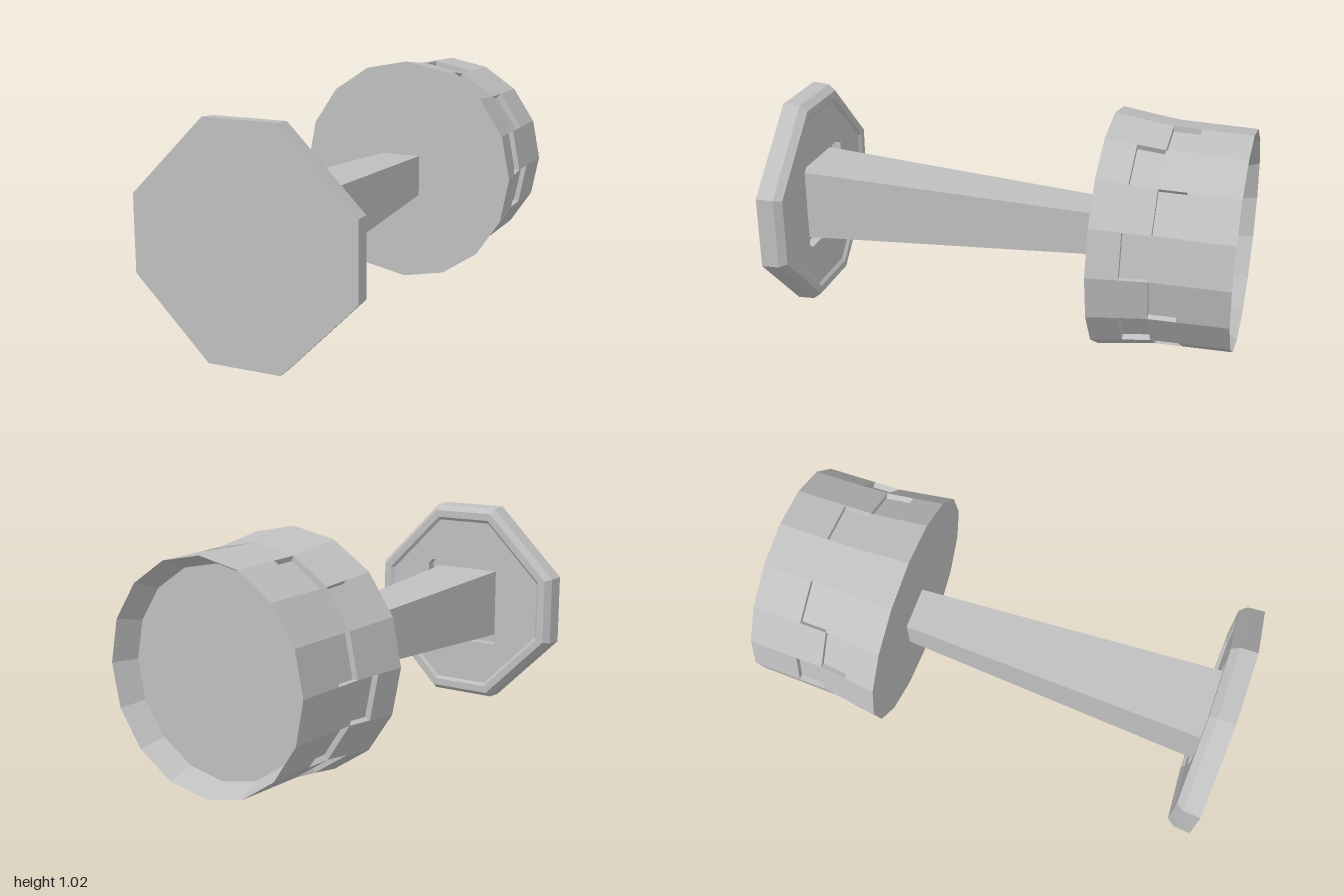
import * as THREE from 'three';

const grey = new THREE.MeshStandardMaterial({ color: 0xbfbfbf });
grey.name = 'plain grey';
grey.side = THREE.DoubleSide;

const CX = -0.023, CY = 0.49; // axis of the foot and shaft

// Flat-shaded skin through rings that run clockwise (seen from +z) and go towards -z.
// notch(band, side) gives the depth of a pocket, as a scale about the centre.
function loft(rings, { center, front = false, back = false, notch = () => 0 } = {}) {
  const pos = [];
  const tri = (...pts) => pts.forEach((p) => pos.push(p.x, p.y, p.z));
  const quad = (a, b, c, d) => tri(a, b, c, a, c, d);
  const n = rings[0].length;
  for (let i = 0; i < rings.length - 1; i++) {
    for (let k = 0; k < n; k++) {
      const m = (k + 1) % n;
      const o = [rings[i][k], rings[i][m], rings[i + 1][m], rings[i + 1][k]];
      const depth = notch(i, k);
      if (!depth) { quad(...o); continue; }
      // pocket: four walls and a floor
      const f = o.map((p) => new THREE.Vector3(
        center.x + (p.x - center.x) * (1 - depth),
        center.y + (p.y - center.y) * (1 - depth), p.z));
      quad(...f);
      for (let j = 0; j < 4; j++) quad(o[j], o[(j + 1) % 4], f[(j + 1) % 4], f[j]);
    }
  }
  const cap = (ring, flip) => {
    const c = new THREE.Vector3(center.x, center.y, ring[0].z);
    ring.forEach((p, k) => {
      const q = ring[(k + 1) % n];
      if (flip) tri(c, q, p); else tri(c, p, q);
    });
  };
  if (front) cap(rings[0], true);
  if (back) cap(rings[rings.length - 1], false);
  const g = new THREE.BufferGeometry();
  g.setAttribute('position', new THREE.Float32BufferAttribute(pos, 3));
  g.computeVertexNormals();
  return g;
}

function add(group, name, geometry) {
  const mesh = new THREE.Mesh(geometry, grey);
  mesh.name = name;
  group.add(mesh);
  return mesh;
}

// Clockwise octagon of the foot
const octagon = (s, z) => [
  [-0.157, 0.473], [0.157, 0.473], [0.475, 0.157], [0.475, -0.157],
  [0.157, -0.473], [-0.157, -0.473], [-0.475, -0.157], [-0.475, 0.157],
].map(([x, y]) => new THREE.Vector3(CX + x * s, CY + y * s, z));

export function createModel() {
  const model = new THREE.Group();
  model.name = 'model';

  // Drum: sixteen sides, flared at the front, hollow rim at the back, staggered pockets
  const drumCenter = new THREE.Vector2(0, 0.51);
  const profile = [[-0.43, 0.51], [-0.56, 0.491], [-0.675, 0.476], [-0.79, 0.473], [-1, 0.468], [-0.9, 0.425]];
  const drumRings = profile.map(([z, r]) => Array.from({ length: 16 }, (_, k) => {
    const a = (k * Math.PI) / 8;
    return new THREE.Vector3(r * Math.sin(a), drumCenter.y + r * Math.cos(a), z);
  }));
  add(model, 'drum', loft(drumRings, {
    center: drumCenter, front: true, back: true,
    notch: (band, k) => ((band === 1 && k % 2 === 1 && k !== 15) || (band === 2 && k % 2 === 0) ? 0.05 : 0),
  }));

  // Shaft: tapered square channel, slotted along the underside
  const section = [
    [-0.45, -1], [-1, -1], [-1, 1], [1, 1], [1, -1], [0.45, -1],
    [0.45, -0.92], [0.92, -0.92], [0.92, 0.92], [-0.92, 0.92], [-0.92, -0.92], [-0.45, -0.92],
  ];
  const shaftRings = [[0.95, 0.158], [-0.43, 0.0925]].map(([z, h]) =>
    section.map(([x, y]) => new THREE.Vector3(CX + x * h, CY + 0.002 + y * h, z)));
  add(model, 'shaft', loft(shaftRings));

  // Foot: bevelled octagonal plate with a raised lip
  const foot = new THREE.Group();
  foot.name = 'foot';
  model.add(foot);
  const footRings = [[1, 1], [0.99, 0.925], [0.94, 0.893], [0.87, 0.893], [0.84, 0.905]]
    .map(([s, z]) => octagon(s, z));
  add(foot, 'footRim', loft(footRings, { center: new THREE.Vector2(CX, CY), front: true }));

  // Foot back face with a square socket around the shaft
  const face = new THREE.Shape(octagon(0.84, 0).map((p) => new THREE.Vector2(p.x, p.y)));
  const h = 0.195, c = 0.02;
  face.holes.push(new THREE.Path([
    [-h + c, -h], [h - c, -h], [h, -h + c], [h, h - c], [h - c, h], [-h + c, h], [-h, h - c], [-h, -h + c],
  ].map(([x, y]) => new THREE.Vector2(CX + x, CY + y))));
  add(foot, 'footBackFace', new THREE.ExtrudeGeometry(face, { depth: 0.045, bevelEnabled: false }))
    .position.z = 0.905;
  const floor = add(foot, 'socketFloor', new THREE.PlaneGeometry(2 * h, 2 * h));
  floor.rotation.y = Math.PI;
  floor.position.set(CX, CY, 0.949);

  return model;
}
